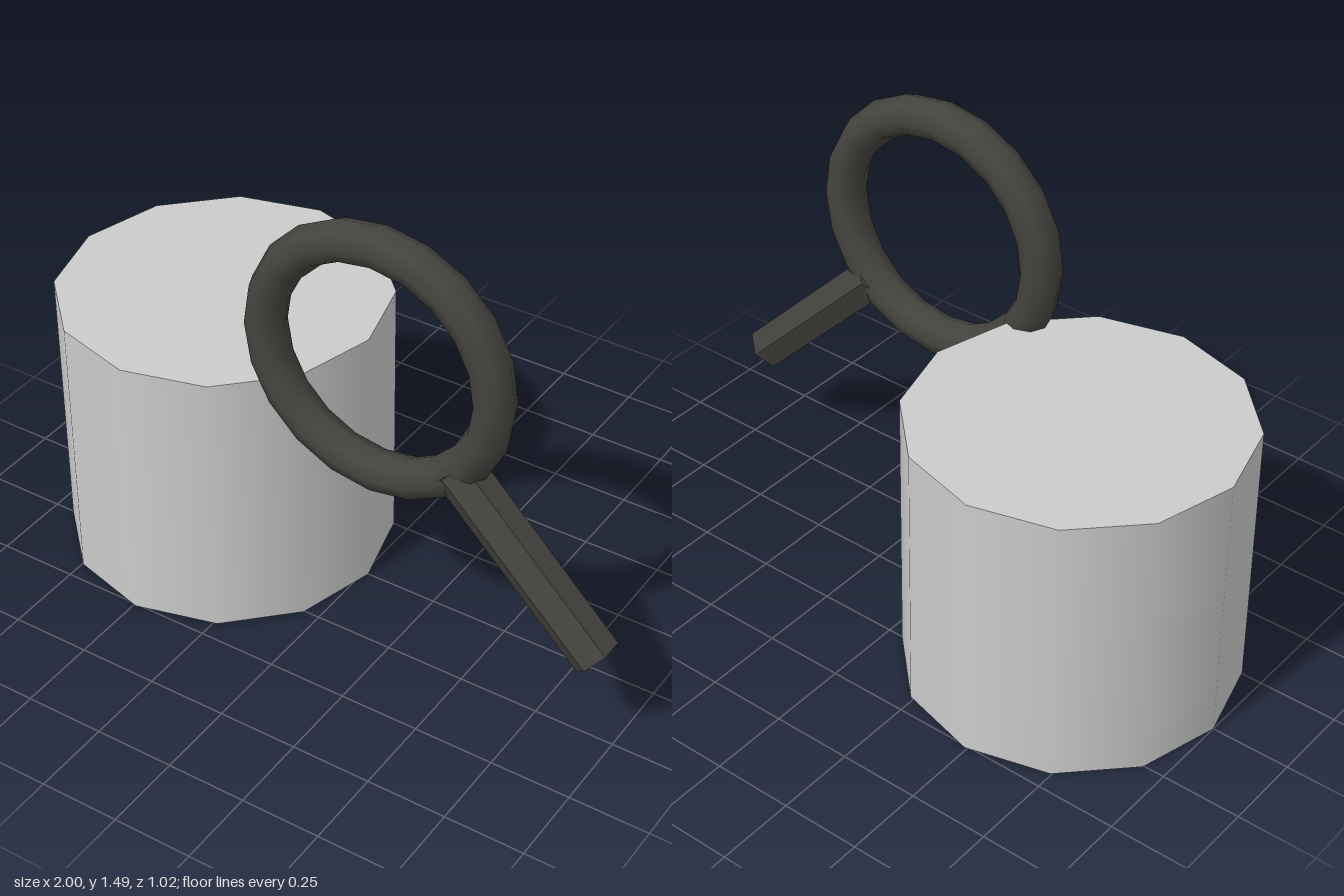
import * as THREE from 'three';

export function createModel() {
  const model = new THREE.Group();
  const grey = new THREE.MeshStandardMaterial({ color: 0xcccccc });
  const dark = new THREE.MeshStandardMaterial({ color: 0x45433e });
  const darkFlat = new THREE.MeshStandardMaterial({ color: 0x45433e, flatShading: true });

  const add = (parent, name, geometry, material, x, y, z) => {
    const mesh = new THREE.Mesh(geometry, material);
    mesh.name = name;
    mesh.position.set(x, y, z);
    parent.add(mesh);
    return mesh;
  };

  // Twelve-sided drum standing on the ground
  const height = 0.875;
  add(model, 'drum', new THREE.CylinderGeometry(0.508, 0.508, height, 12), grey, -0.492, height / 2, 0);

  // Upright ring with a handle leaving its lower left at 45 degrees
  const hoop = new THREE.Group();
  hoop.name = 'ringWithHandle';
  hoop.position.set(0.235, 1.057, 0.292);
  model.add(hoop);

  const ringRadius = 0.37;
  add(hoop, 'ring', new THREE.TorusGeometry(ringRadius, 0.062, 8, 20), dark, 0, 0, 0);

  // Hexagonal handle, starting inside the ring's tube
  const start = 0.357, length = 0.657;
  const reach = (start + length / 2) * Math.SQRT1_2;
  const handle = add(hoop, 'handle', new THREE.CylinderGeometry(0.073, 0.073, length, 6), darkFlat, reach, -reach, 0);
  handle.rotation.z = Math.PI / 4;

  return model;
}
